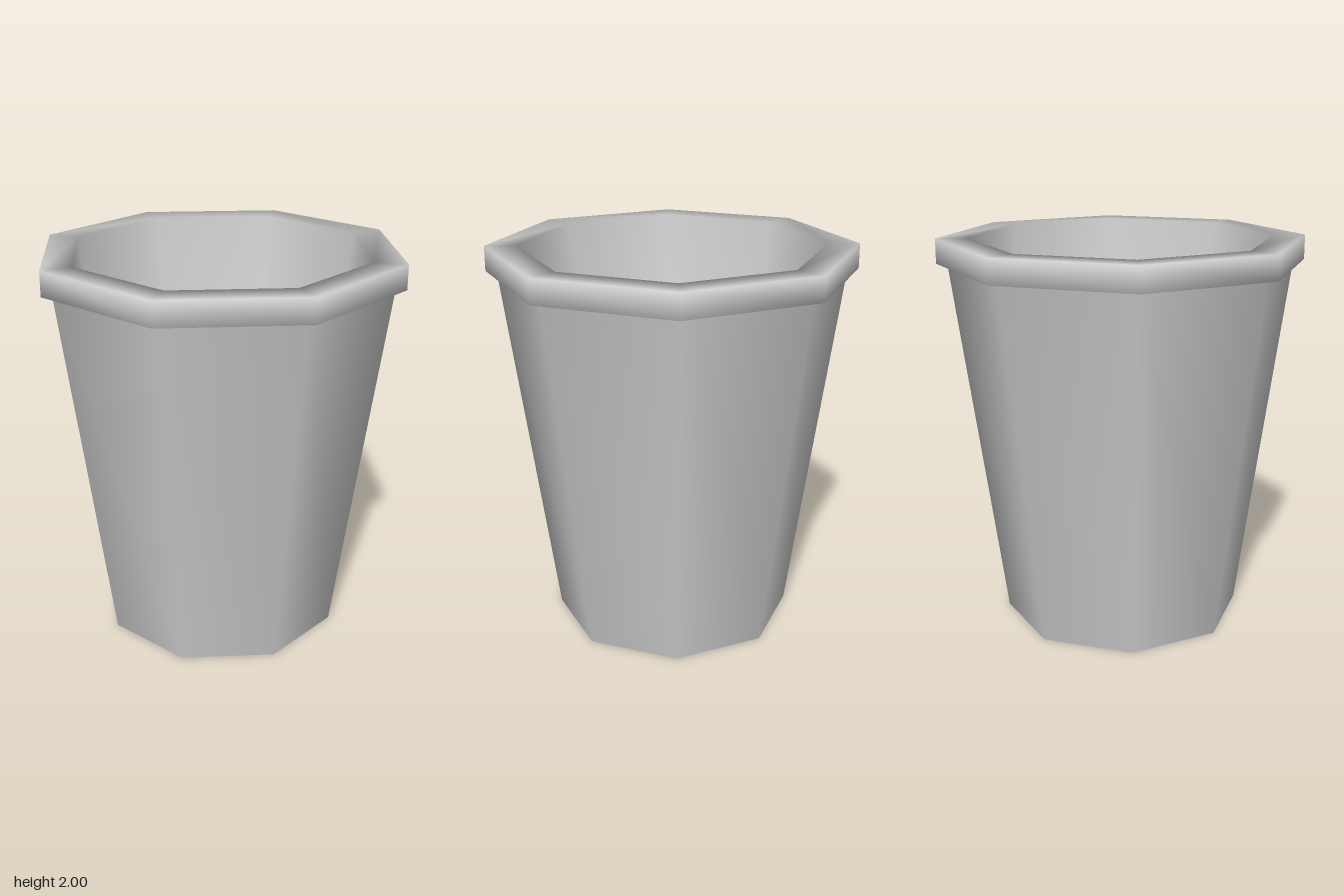
import * as THREE from 'three';

const SIDES = 8;

// Eight-sided surface of revolution with a corner facing the front
function lathe(name, profile, material) {
  const points = profile.map(([r, y]) => new THREE.Vector2(r, y));
  const mesh = new THREE.Mesh(new THREE.LatheGeometry(points, SIDES), material);
  mesh.name = name;
  return mesh;
}

export function createModel() {
  const group = new THREE.Group();
  group.name = 'cup';
  const material = new THREE.MeshStandardMaterial({ color: 0xcccccc });

  // Tapered outer wall, square-edged rim, inner wall and inner floor
  group.add(lathe('cupBody', [
    [0.62, 0], [0.88, 1.875],
    [0.935, 1.875], [0.935, 2],
    [0.775, 2], [0.52, 0.125], [0, 0.125],
  ], material));

  // Flat underside with a sharp edge
  const base = new THREE.Mesh(new THREE.CircleGeometry(0.62, SIDES), material);
  base.name = 'base';
  base.rotation.x = Math.PI / 2;
  group.add(base);

  return group;
}
